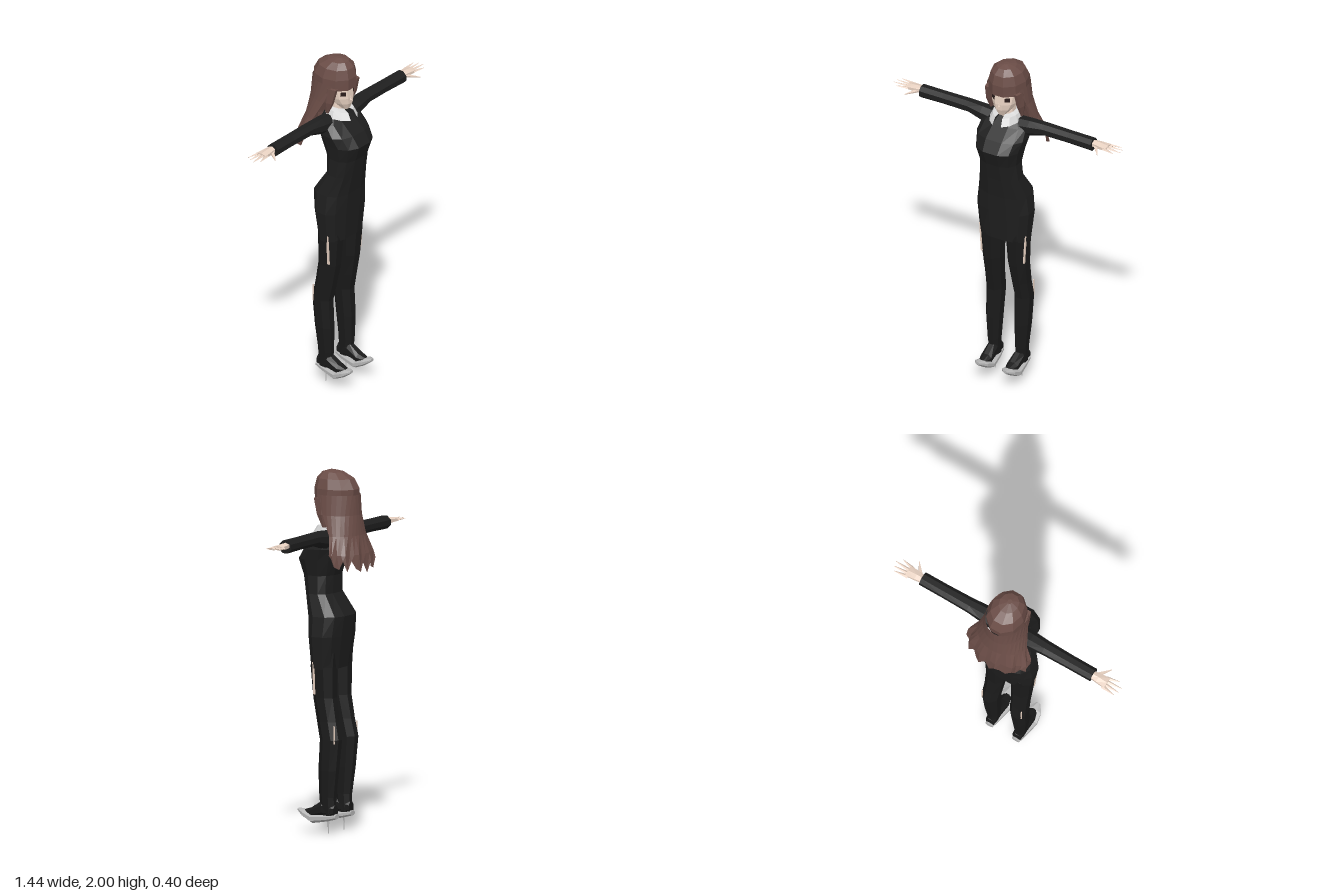
import * as THREE from 'three';

const mat = (name, color) => new THREE.MeshStandardMaterial({ name, color, flatShading: true, side: THREE.DoubleSide });

// Closed loft: each ring is [height, centreX, halfWidth, frontZ, backZ]
function loft(rings, n = 10, power = 1) {
  const pos = [], idx = [];
  const soft = v => Math.sign(v) * Math.abs(v) ** power;
  for (const [y, cx, rx, zf, zb] of rings) {
    for (let j = 0; j < n; j++) {
      const a = (j + 0.5) / n * Math.PI * 2;
      pos.push(cx + rx * soft(Math.sin(a)), y, (zf + zb) / 2 + (zf - zb) / 2 * soft(Math.cos(a)));
    }
  }
  const last = (rings.length - 1) * n;
  for (const r of [rings[0], rings[rings.length - 1]]) pos.push(r[1], r[0], (r[3] + r[4]) / 2);
  const bottom = last + n, top = bottom + 1;
  for (let j = 0; j < n; j++) {
    const k = (j + 1) % n;
    for (let i = 0; i < last; i += n) idx.push(i + j, i + k, i + n + k, i + j, i + n + k, i + n + j);
    idx.push(bottom, k, j, top, last + j, last + k);
  }
  return build(pos, idx);
}

function build(pos, idx) {
  const g = new THREE.BufferGeometry();
  g.setAttribute('position', new THREE.Float32BufferAttribute(pos, 3));
  g.setIndex(idx);
  g.computeVertexNormals();
  return g;
}

// Open sheet: point(row, column) gives [x, y, z]
function sheet(rows, cols, point) {
  const pos = [], idx = [];
  for (let i = 0; i < rows; i++) for (let j = 0; j < cols; j++) pos.push(...point(i, j));
  for (let i = 0; i < rows - 1; i++) for (let j = 0; j < cols - 1; j++) {
    const a = i * cols + j, b = a + cols;
    idx.push(a, b, b + 1, a, b + 1, a + 1);
  }
  return build(pos, idx);
}

// Mirrored copy with corner order kept outward
function mirrored(g) {
  const m = g.clone().scale(-1, 1, 1), ix = m.index;
  for (let i = 0; i < ix.count; i += 3) {
    const t = ix.getX(i);
    ix.setX(i, ix.getX(i + 1));
    ix.setX(i + 1, t);
  }
  m.computeVertexNormals();
  return m;
}

// Tapered spike between two points, flattened in y
function spike(a, b, r) {
  const A = new THREE.Vector3(...a), d = new THREE.Vector3(...b).sub(A);
  const g = new THREE.CylinderGeometry(0.002, r, d.length(), 4).translate(0, d.length() / 2, 0);
  g.applyQuaternion(new THREE.Quaternion().setFromUnitVectors(new THREE.Vector3(0, 1, 0), d.normalize()));
  return g.scale(1, 0.6, 1).translate(...a);
}

export function createModel() {
  const model = new THREE.Group();
  const cloth = mat('black cloth', 0x1e1e1e), stocking = mat('stocking', 0x1a1a1a);
  const hair = mat('brown hair', 0x6b4d47), skin = mat('skin', 0xecd5c5);
  const white = mat('collar white', 0xd8d8d8), grey = mat('shoe grey', 0xb4b4b4), dark = mat('eye dark', 0x2a1c1a);
  const add = (name, g, m) => {
    const mesh = new THREE.Mesh(g, m);
    mesh.name = name;
    model.add(mesh);
  };
  const pair = (name, g, m) => {
    add(name + 'Left', g, m);
    add(name + 'Right', mirrored(g), m);
  };

  // Dress, from hem to shoulders
  add('dress', loft([
    [0.91, 0, 0.15, 0.11, -0.045], [1.09, 0, 0.168, 0.125, -0.07], [1.2, 0, 0.155, 0.135, -0.085],
    [1.32, 0, 0.125, 0.155, -0.005], [1.42, 0, 0.117, 0.175, -0.01], [1.51, 0, 0.135, 0.207, -0.04],
    [1.57, 0, 0.148, 0.165, -0.05], [1.63, 0, 0.14, 0.09, -0.05], [1.675, 0, 0.085, 0.05, -0.04],
  ], 12, 0.8), cloth);

  // Sleeves and palms run along x
  const alongX = g => g.rotateZ(-Math.PI / 2);
  pair('sleeve', alongX(loft([
    [0.07, -1.62, 0.055, 0.065, -0.045], [0.15, -1.63, 0.05, 0.06, -0.04], [0.24, -1.643, 0.037, 0.05, -0.036],
    [0.4, -1.642, 0.036, 0.046, -0.033], [0.545, -1.64, 0.038, 0.046, -0.032],
  ], 8)), cloth);
  pair('palm', alongX(loft([
    [0.53, -1.645, 0.02, 0.026, -0.02], [0.58, -1.645, 0.018, 0.035, -0.028], [0.635, -1.645, 0.012, 0.04, -0.035],
  ], 6)), skin);
  const tips = [[0.69, 0.045], [0.72, 0.017], [0.715, -0.012], [0.7, -0.036]];
  tips.forEach(([x, z], i) => pair('finger' + (i + 1), spike([0.62, 0, 0.028 - i * 0.018], [x, 0, z], 0.012).translate(0, 1.645, 0), skin));
  pair('thumb', spike([0.565, 0, 0.02], [0.615, -0.01, 0.087], 0.015).translate(0, 1.64, 0), skin);

  // Legs
  pair('leg', loft([
    [0.1, 0.085, 0.03, 0.04, -0.045], [0.2, 0.087, 0.036, 0.052, -0.046], [0.35, 0.09, 0.046, 0.055, -0.065],
    [0.52, 0.089, 0.052, 0.045, -0.082], [0.62, 0.084, 0.053, 0.066, -0.062], [0.75, 0.08, 0.06, 0.09, -0.042],
    [0.92, 0.08, 0.068, 0.106, -0.045], [1.0, 0.08, 0.068, 0.1, -0.05],
  ], 8), stocking);
  // Bare slivers on the outer thighs and the shins
  pair('thighSliver', new THREE.BoxGeometry(0.008, 0.18, 0.012).rotateZ(-0.06).translate(0.139, 0.86, 0.06), skin);
  pair('calfSliver', new THREE.BoxGeometry(0.006, 0.1, 0.006).translate(0.124, 0.55, -0.058), skin);

  // Feet, shoes and heel pins; lofts run along z
  const alongZ = g => g.rotateX(Math.PI / 2);
  pair('foot', alongZ(loft([
    [-0.045, 0.085, 0.028, -0.09, -0.16], [0.03, 0.085, 0.034, -0.085, -0.185],
    [0.1, 0.083, 0.036, -0.08, -0.14], [0.145, 0.083, 0.022, -0.1, -0.125],
  ], 8)), stocking);
  pair('shoe', alongZ(loft([
    [-0.055, 0.085, 0.024, -0.08, -0.11], [0, 0.084, 0.036, -0.065, -0.105], [0.09, 0.084, 0.053, -0.05, -0.105],
    [0.145, 0.086, 0.044, -0.08, -0.125], [0.185, 0.088, 0.014, -0.112, -0.13],
  ], 8)), grey);
  pair('heel', new THREE.CylinderGeometry(0.006, 0.003, 0.075, 4).translate(0.085, 0.0375, 0), grey);

  // Neck, head and eyes
  add('neck', loft([[1.62, 0, 0.055, 0.07, -0.04], [1.68, 0, 0.042, 0.052, -0.04], [1.76, 0, 0.038, 0.045, -0.045]], 8), skin);
  add('head', loft([
    [1.702, 0, 0.022, 0.092, 0.04], [1.74, 0, 0.055, 0.108, -0.02], [1.775, 0, 0.075, 0.11, -0.06],
    [1.82, 0, 0.082, 0.105, -0.08], [1.9, 0, 0.08, 0.09, -0.09],
  ]), skin);
  add('nose', new THREE.ConeGeometry(0.009, 0.025, 4).translate(0, 1.775, 0.106), skin);
  pair('eye', new THREE.BoxGeometry(0.03, 0.022, 0.008).rotateY(0.68).translate(0.043, 1.806, 0.088), dark);

  // Collar, open at the front
  add('collar', sheet(3, 13, (i, j) => {
    const a = 0.3 + j / 12 * (Math.PI * 2 - 0.6), front = Math.cos(a) > 0;
    const rx = [0.05, 0.075, 0.092][i], rz = front ? [0.06, 0.1, 0.125][i] : [0.045, 0.05, 0.055][i];
    return [rx * Math.sin(a), [1.71, 1.7, 1.66][i] - (front ? 0.012 * Math.cos(a) : 0), 0.01 + rz * Math.cos(a)];
  }), white);

  // Crown with fringe
  add('crown', loft([
    [1.835, 0, 0.108, 0.122, -0.13], [1.9, 0, 0.107, 0.124, -0.135],
    [1.955, 0, 0.09, 0.11, -0.105], [1.988, 0, 0.055, 0.08, -0.045], [2.0, 0, 0.012, 0.04, 0.01],
  ]), hair);

  // Long hair down the back with a ragged hem: [y, half width, centre z, depth, half sweep]
  const drape = [
    [1.87, 0.113, 0, 0.14, 2], [1.76, 0.125, -0.01, 0.135, 1.75], [1.65, 0.15, -0.045, 0.115, 1.6],
    [1.55, 0.19, -0.06, 0.125, 1.55], [1.47, 0.195, -0.07, 0.125, 1.5],
  ];
  add('longHair', sheet(5, 19, (i, j) => {
    const [y, rx, zc, rz, sweep] = drape[i];
    const t = (j / 18 * 2 - 1) * sweep;
    const wave = i > 2 ? [1, 0.95, 1.06][j % 3] : 1;
    const jag = i === 4 ? [0.03, -0.02, -0.005, 0.035, -0.025][j % 5] + 0.03 * Math.abs(t) / sweep : 0;
    return [rx * wave * Math.sin(t), y + jag, zc - rz * wave * Math.cos(t)];
  }), hair);

  // Locks framing the face
  pair('sideLock', loft([
    [1.69, 0.098, 0.006, 0.03, 0.01], [1.76, 0.098, 0.018, 0.065, -0.01], [1.85, 0.092, 0.02, 0.09, -0.02],
  ], 6), hair);

  return model;
}
